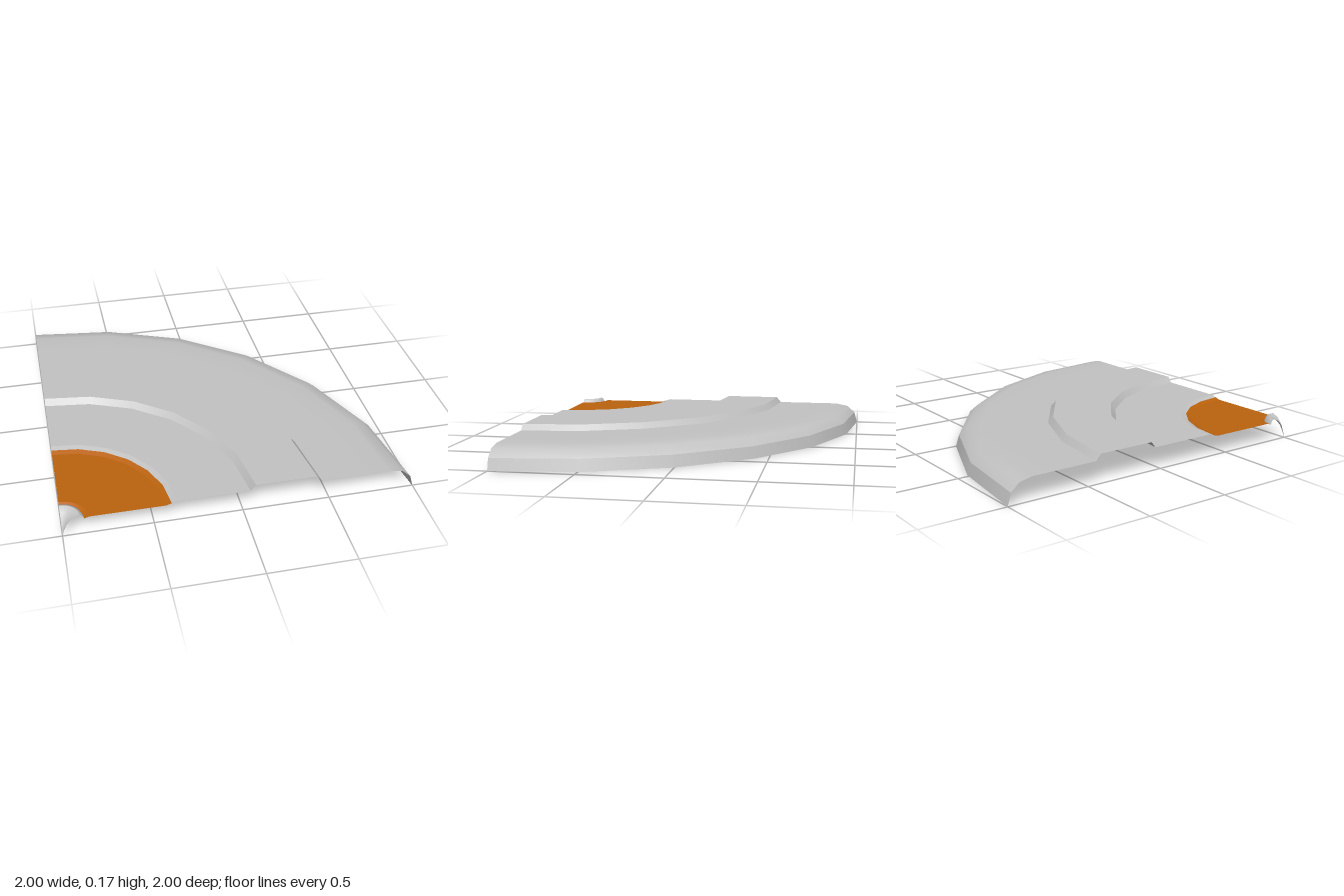
import * as THREE from 'three';

export function createModel() {
  const grey = new THREE.MeshStandardMaterial({ color: 0xc2c2c2, side: THREE.DoubleSide });
  grey.name = 'light grey';
  const orange = new THREE.MeshStandardMaterial({ color: 0xbb620d, side: THREE.DoubleSide });
  orange.name = 'burnt orange';

  const model = new THREE.Group();
  model.name = 'quarterDisc';

  // Each band sweeps a quarter turn around the corner axis.
  // Profiles are [radius, height] from outside to inside, so the top is the front face.
  const band = (name, material, profile) => {
    const points = profile.map(([r, y]) => new THREE.Vector2(r, y));
    const geometry = new THREE.LatheGeometry(points, 6, Math.PI / 2, Math.PI / 2);
    geometry.translate(-1, 0, 1);
    const mesh = new THREE.Mesh(geometry, material);
    mesh.name = name;
    model.add(mesh);
  };

  // Rolled outer rim and outer field
  band('rimLip', grey, [[2, 0], [1.98, 0.07]]);
  band('rimShoulder', grey, [[1.98, 0.07], [1.93, 0.115], [1.85, 0.131], [1.7, 0.131]]);
  band('outerField', grey, [[1.7, 0.131], [1.45, 0.131]]);

  // Raised ring with sloped steps
  band('raisedRingOuterStep', grey, [[1.45, 0.131], [1.42, 0.166]]);
  band('raisedRingTop', grey, [[1.42, 0.166], [1.07, 0.166]]);
  band('raisedRingInnerStep', grey, [[1.07, 0.166], [1.04, 0.131]]);
  band('innerField', grey, [[1.04, 0.131], [0.63, 0.131]]);

  // Sunken orange centre
  band('centreStep', grey, [[0.63, 0.131], [0.6, 0.122]]);
  band('centreSlope', orange, [[0.6, 0.122], [0.57, 0.112]]);
  band('centreField', orange, [[0.57, 0.112], [0.15, 0.112]]);
  band('hubGroove', orange, [[0.15, 0.112], [0.125, 0.102]]);

  // Hub collar and flared spike
  band('hubCollar', grey, [[0.125, 0.102], [0.115, 0.125], [0.1, 0.131]]);
  band('hubSpike', grey, [[0.1, 0.131], [0.06, 0.115], [0.03, 0.08], [0.012, 0.04], [0, 0]]);

  return model;
}
